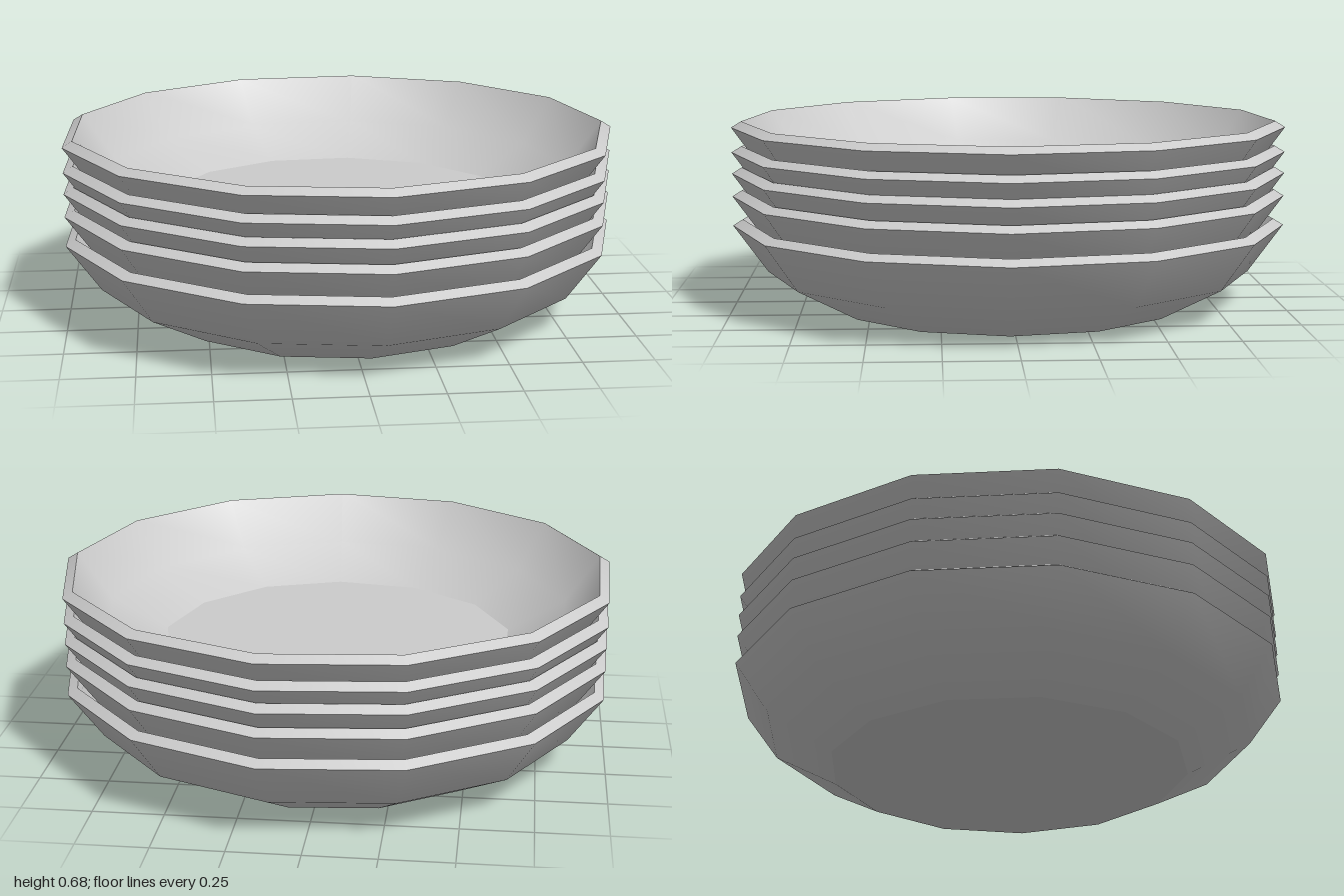
import * as THREE from 'three';

const SIDES = 13;
const START = THREE.MathUtils.degToRad(88);

// Profiles [radius, height] of one bowl, running from the base round the rim to the inner floor.
// Each is its own surface, so the edges between them stay sharp.
const PROFILES = {
  base: [[0, 0], [0.65, 0]],
  outerWall: [[0.65, 0], [0.884, 0.125], [1.008, 0.298]],
  rim: [[1.008, 0.298], [0.972, 0.32]],
  innerWall: [[0.972, 0.32], [0.848, 0.15], [0.638, 0.045]],
  floor: [[0.638, 0.045], [0, 0.045]],
};

// Heights at which the nested bowls sit
const HEIGHTS = [0, 0.107, 0.19, 0.267, 0.357];

export function createModel() {
  const material = new THREE.MeshStandardMaterial({ color: 0xcccccc });
  const surfaces = Object.entries(PROFILES).map(([name, profile]) => {
    const points = profile.map(([r, y]) => new THREE.Vector2(r, y));
    return [name, new THREE.LatheGeometry(points, SIDES, START, Math.PI * 2)];
  });

  const stack = new THREE.Group();
  stack.name = 'bowlStack';
  HEIGHTS.forEach((y, i) => {
    const bowl = new THREE.Group();
    bowl.name = `bowl${i + 1}`;
    for (const [name, geometry] of surfaces) {
      const mesh = new THREE.Mesh(geometry, material);
      mesh.name = name;
      bowl.add(mesh);
    }
    // The odd number of sides puts the axis slightly off the middle of the outline
    bowl.position.set(-0.01, y, -0.004);
    stack.add(bowl);
  });
  return stack;
}
